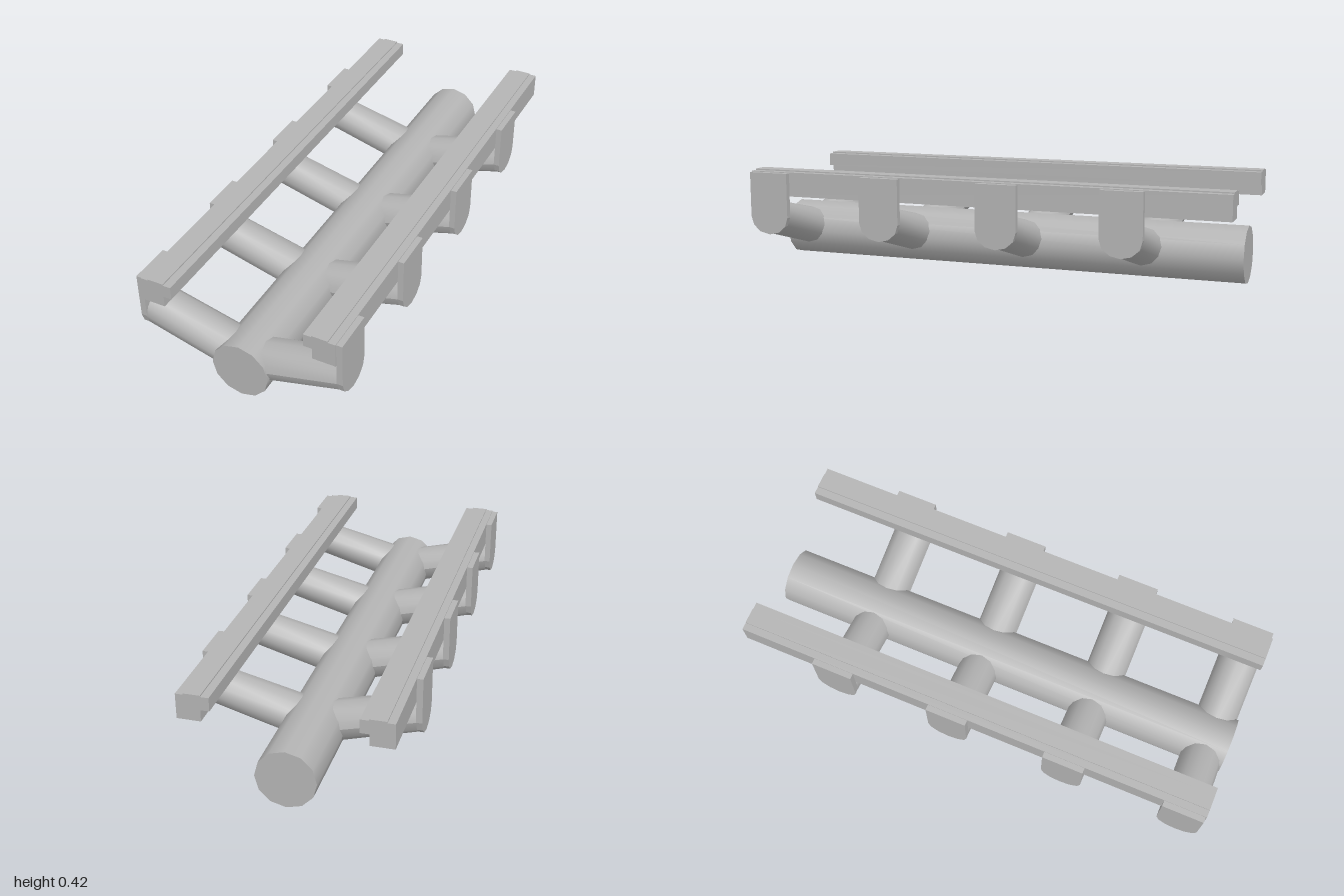
import * as THREE from 'three';

export function createModel() {
  const model = new THREE.Group();
  const metal = new THREE.MeshStandardMaterial({ color: 0xb4b4b4 });
  metal.name = 'grey metal';

  const AXIS_Y = 0.118; // height of the spine axis
  const SLOPE = 0.266; // rise of the arms per unit of x
  const ARM_END = 0.4;
  const HALF_Z = 0.085; // half width of arms and brackets
  const HALF_Y = 0.0725; // half height of an arm at its outer end

  const extrude = (shape, depth) => {
    const g = new THREE.ExtrudeGeometry(shape, { depth, bevelEnabled: false, curveSegments: 6 });
    return g.translate(0, 0, -depth / 2);
  };
  const add = (name, geometry, z = 0, turn = 0) => {
    const mesh = new THREE.Mesh(geometry, metal);
    mesh.name = name;
    mesh.position.z = z;
    mesh.rotation.y = turn;
    model.add(mesh);
  };

  // Central twelve-sided spine
  const spine = new THREE.CylinderGeometry(0.117, 0.117, 2, 12).rotateX(Math.PI / 2);
  add('spine', spine.translate(0, AXIS_Y, 0));

  // Sloping arm: oval tube, slightly lower at the outer end, sheared so its end stays vertical
  const arm = new THREE.CylinderGeometry(1, 1, ARM_END, 12);
  arm.rotateZ(-Math.PI / 2).translate(ARM_END / 2, 0, 0);
  const p = arm.attributes.position;
  for (let i = 0; i < p.count; i++) {
    const x = p.getX(i);
    const half = THREE.MathUtils.lerp(0.083, HALF_Y, x / ARM_END);
    p.setXYZ(i, x, AXIS_Y + SLOPE * x + p.getY(i) * half, p.getZ(i) * HALF_Z);
  }
  arm.computeVertexNormals();

  // Upright bracket plate with a faceted round foot
  const endY = AXIS_Y + SLOPE * ARM_END;
  const outline = [[HALF_Z, 0.409], [-HALF_Z, 0.409]];
  for (let i = 0; i <= 6; i++) {
    const a = Math.PI + (i * Math.PI) / 6;
    outline.push([HALF_Z * Math.cos(a), endY + HALF_Y * Math.sin(a)]);
  }
  const plateShape = new THREE.Shape(outline.map(([x, y]) => new THREE.Vector2(x, y)));
  const plate = extrude(plateShape, 0.024).rotateY(Math.PI / 2).translate(0.41, 0, 0);

  // Stepped rail with an inward lip and a low raised strip on top
  const railShape = new THREE.Shape([
    [0.306, 0.312], [0.398, 0.312], [0.398, 0.412], [0.368, 0.412], [0.368, 0.417],
    [0.304, 0.417], [0.304, 0.412], [0.272, 0.412], [0.272, 0.358], [0.306, 0.358],
  ].map(([x, y]) => new THREE.Vector2(x, y)));
  const rail = extrude(railShape, 2);

  // Both sides: every part is symmetric in z, so a half turn mirrors it
  for (const [side, turn] of [['left', 0], ['right', Math.PI]]) {
    add(side + 'Rail', rail, 0, turn);
    for (const z of [0.91, 0.41, -0.09, -0.59]) {
      add(side + 'Arm', arm, z, turn);
      add(side + 'Bracket', plate, z, turn);
    }
  }
  return model;
}
